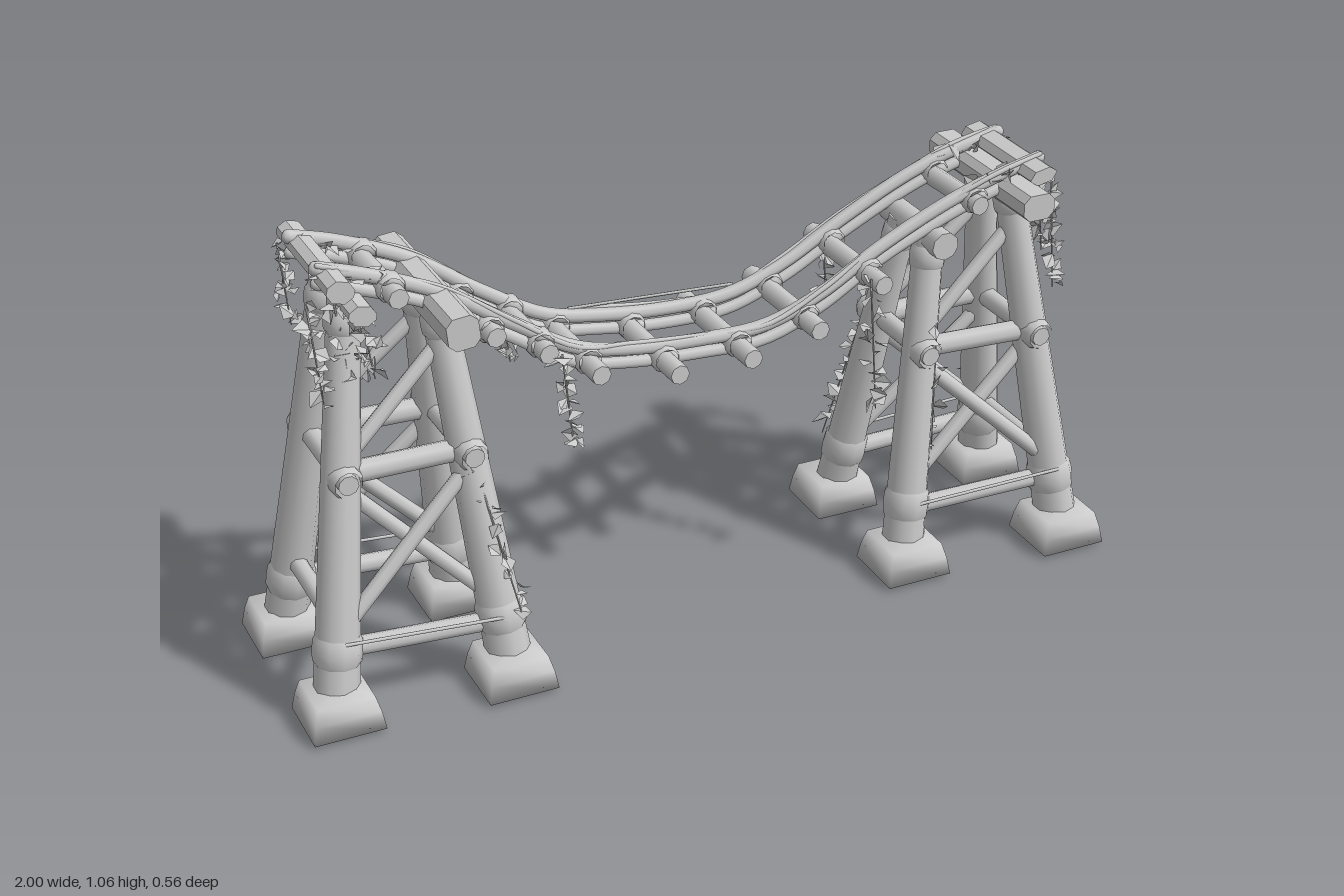
import * as THREE from 'three';
import { mergeGeometries } from 'three/addons/utils/BufferGeometryUtils.js';

const V = (x, y, z) => new THREE.Vector3(x, y, z);
const UP = V(0, 1, 0);
const wood = new THREE.MeshStandardMaterial({ color: 0xcccccc });
const leafy = new THREE.MeshStandardMaterial({ color: 0xcccccc, side: THREE.DoubleSide, flatShading: true });

let seed = 7;
const rand = (a, b) => {
  seed = (seed * 16807) % 2147483647;
  return a + (b - a) * seed / 2147483647;
};

function add(parent, name, geometry, material = wood) {
  const mesh = new THREE.Mesh(geometry, material);
  mesh.name = name;
  parent.add(mesh);
  return mesh;
}

// Round timber between two points
function log(parent, name, a, b, r0, r1 = r0, sides = 9) {
  const dir = b.clone().sub(a);
  const mesh = add(parent, name, new THREE.CylinderGeometry(r1, r0, dir.length(), sides));
  mesh.position.copy(a).add(b).multiplyScalar(0.5);
  mesh.quaternion.setFromUnitVectors(UP, dir.normalize());
}

// Bound sleeve around a timber, swelling in the middle
function wrap(parent, p, dir, r, length) {
  const profile = [[0.8, -0.5], [0.97, -0.3], [1, 0], [0.97, 0.3], [0.8, 0.5]];
  const mesh = add(parent, 'binding', new THREE.LatheGeometry(profile.map(([k, h]) => new THREE.Vector2(r * k, length * h)), 10));
  mesh.position.copy(p);
  mesh.quaternion.setFromUnitVectors(UP, dir.clone().normalize());
}

// Squared beam lying across the track, with chamfered edges
function crossBeam(parent, name, x, y, z0, z1, w, h, tilt = 0) {
  const c = 0.016, s = new THREE.Shape();
  s.moveTo(-w / 2 + c, -h / 2).lineTo(w / 2 - c, -h / 2).lineTo(w / 2, -h / 2 + c)
    .lineTo(w / 2, h / 2 - c).lineTo(w / 2 - c, h / 2).lineTo(-w / 2 + c, h / 2)
    .lineTo(-w / 2, h / 2 - c).lineTo(-w / 2, -h / 2 + c);
  const mesh = add(parent, name, new THREE.ExtrudeGeometry(s, { depth: z1 - z0, bevelEnabled: false }));
  mesh.position.set(x, y, z0);
  mesh.rotation.z = tilt;
}

// A folded pointed leaf, randomly turned
function leaf(p, size) {
  const pts = [0, 0, 0, size * 0.5, size * 0.5, size * 0.2, 0, size * 1.2, 0, -size * 0.5, size * 0.5, size * 0.2];
  const g = new THREE.BufferGeometry();
  g.setAttribute('position', new THREE.Float32BufferAttribute(pts, 3));
  g.setIndex([0, 1, 2, 0, 2, 3]);
  g.computeVertexNormals();
  g.translate(0, -size * 0.5, 0).rotateZ(rand(0, 6.28)).rotateX(rand(0, 6.28)).rotateY(rand(0, 6.28));
  return g.translate(p.x, p.y, p.z);
}

// Leafy strand from a to b
function vine(parent, a, b, count, spread = 0.018, size = 0.034) {
  const leaves = [];
  for (let i = 0; i < count; i++) {
    const p = a.clone().lerp(b, (i + rand(0, 0.8)) / count);
    p.add(V(rand(-spread, spread), 0, rand(-spread, spread)));
    leaves.push(leaf(p, size * rand(0.7, 1.2)));
  }
  add(parent, 'vineLeaves', mergeGeometries(leaves), leafy);
  log(parent, 'vineStem', a, b, 0.0025, 0.0015, 4);
}

// Tapered four-sided stone: profile from the bottom centre up
const footProfile = [[0, 0], [0.116, 0.008], [0.106, 0.05], [0.092, 0.086], [0, 0.098]]
  .map(([r, y]) => new THREE.Vector2(r, y));

// Four-legged trestle; each leg row is [footX, topX, topY, backZ, frontZ]
function tower(name, rows, midY) {
  const t = new THREE.Group();
  t.name = name;
  const legAt = (row, side, y) => {
    const [fx, tx, ty, zb, zf] = row, k = (y - 0.06) / (ty - 0.06);
    return V(fx + (tx - fx) * k, y, THREE.MathUtils.lerp(side < 0 ? zb : zf, side * 0.058, k));
  };
  for (const row of rows) {
    for (const side of [-1, 1]) {
      const base = legAt(row, side, 0.06), top = legAt(row, side, row[2]);
      const foot = add(t, 'footBlock', new THREE.LatheGeometry(footProfile, 4).rotateY(Math.PI / 4));
      foot.position.set(base.x, 0, base.z + side * 0.008);
      log(t, 'leg', base, top, 0.052, 0.036, 10);
      const dir = top.clone().sub(base);
      wrap(t, legAt(row, side, 0.17), dir, 0.056, 0.085);
      wrap(t, legAt(row, side, row[2] - 0.05), dir, 0.043, 0.06);
      // Binding where the tie crosses the leg
      const joint = legAt(row, side, midY);
      joint.z += side * 0.02;
      wrap(t, joint, V(0, 0, 1), 0.038, 0.07);
    }
    // Tie across the track
    const a = legAt(row, -1, midY), b = legAt(row, 1, midY);
    a.z -= 0.065;
    b.z += 0.055;
    log(t, 'crossTie', a, b, 0.025, 0.023);
  }
  const [outer, inner] = rows;
  log(t, 'lowTie', legAt(outer, -1, 0.225), legAt(outer, 1, 0.225), 0.021);
  // Side rails, diagonal braces and a slack rope on both faces
  for (const side of [-1, 1]) {
    const brace = (name, row0, y0, row1, y1, r, off = 0) => {
      const a = legAt(row0, side, y0), b = legAt(row1, side, y1);
      a.z += side * off;
      b.z += side * off;
      log(t, name, a, b, r, r, 8);
    };
    brace('sideRail', outer, midY, inner, midY, 0.026);
    brace('sideRail', outer, 0.17, inner, 0.155, 0.022);
    brace('brace', outer, 0.21, inner, midY - 0.03, 0.018, 0.012);
    brace('brace', outer, midY - 0.03, inner, 0.2, 0.018, -0.012);
    brace('sideRope', outer, 0.205, inner, 0.185, 0.004, 0.05);
    if (outer[1] < 0) brace('brace', outer, midY + 0.02, inner, inner[2] - 0.08, 0.017);
    else brace('brace', inner, midY + 0.03, outer, outer[2] - 0.1, 0.017);
  }
  return t;
}

export function createModel() {
  const model = new THREE.Group();
  model.name = 'trestleTrack';

  model.add(tower('highTower', [[-0.918, -0.805, 0.95, -0.184, 0.176], [-0.52, -0.605, 0.9, -0.165, 0.192]], 0.565));
  model.add(tower('lowTower', [[0.917, 0.8, 0.92, -0.184, 0.18], [0.508, 0.595, 0.82, -0.192, 0.148]], 0.55));

  // Beams capping the towers
  crossBeam(model, 'capBeam', -0.608, 0.9, -0.23, 0.23, 0.072, 0.075, 0.1);
  crossBeam(model, 'capBeam', -0.8, 0.95, -0.155, 0.165, 0.06, 0.045, -0.2);
  crossBeam(model, 'capBeam', 0.79, 0.91, -0.215, 0.21, 0.08, 0.062);
  log(model, 'capBeam', V(0.597, 0.818, -0.13), V(0.597, 0.818, 0.13), 0.034);

  // Sagging track
  const path = [[-0.87, 1.038], [-0.78, 1.012], [-0.61, 0.932], [-0.45, 0.827], [-0.3, 0.74], [-0.17, 0.703],
    [0, 0.688], [0.16, 0.697], [0.3, 0.742], [0.45, 0.824], [0.61, 0.903], [0.74, 0.945], [0.86, 0.972]];
  const track = new THREE.Group();
  track.name = 'track';
  model.add(track);
  const strand = (name, dy, z, r, wobble) => {
    const curve = new THREE.CatmullRomCurve3(path.map(([x, y], i) =>
      V(x, y + dy + wobble * Math.sin(i * 2.1 + z * 30), z + wobble * Math.cos(i * 1.7))));
    add(track, name, new THREE.TubeGeometry(curve, 60, r, 7));
    for (const end of [0, 1]) add(track, 'railEnd', new THREE.SphereGeometry(r, 7, 5)).position.copy(curve.getPoint(end));
  };
  for (const z of [-0.095, 0.085]) {
    strand('rail', 0, z, 0.016, 0.003);
    strand('lowerRail', -0.035, z * 0.98, 0.014, 0.004);
    strand('rope', 0.01, z * 1.08, 0.006, 0.008);
  }
  log(track, 'tautRope', V(-0.24, 0.735, -0.1), V(0.17, 0.713, -0.1), 0.004, 0.004, 5);

  // Sleepers [x, y, half length] slung below the rails, bound at each rail
  const sleepers = [[-0.715, 0.957, 0.14], [-0.5, 0.817, 0.13], [-0.385, 0.757, 0.14], [-0.275, 0.693, 0.165],
    [-0.09, 0.656, 0.17], [0.09, 0.655, 0.17], [0.26, 0.687, 0.165], [0.42, 0.766, 0.165], [0.69, 0.893, 0.12]];
  for (const [x, y, half] of sleepers) {
    log(track, 'sleeper', V(x - 0.005, y, -half - 0.007), V(x + 0.005, y, half - 0.007), 0.025, 0.023, 8);
    for (const z of [-0.095, 0.085]) wrap(track, V(x, y + 0.01, z), V(0, 0, 1), 0.034, 0.045);
  }
  // Planks at the ends of the track
  crossBeam(track, 'endPlank', -0.845, 1.015, -0.165, 0.17, 0.06, 0.048, -0.25);
  crossBeam(track, 'endPlank', 0.83, 0.96, -0.15, 0.16, 0.07, 0.035, 0.2);

  // Hanging vines [x, topY, z, bottomY]
  const vines = new THREE.Group();
  vines.name = 'vines';
  model.add(vines);
  const hanging = [[-0.91, 0.98, 0.14, 0.76], [-0.88, 1.0, -0.15, 0.8], [-0.84, 0.99, 0.09, 0.78], [-0.35, 0.75, 0.13, 0.52],
    [-0.38, 0.74, -0.15, 0.6], [0.4, 0.78, 0.14, 0.45], [0.43, 0.78, -0.15, 0.58], [0.87, 0.94, 0.13, 0.66],
    [0.86, 0.94, -0.16, 0.7], [0.86, 0.95, 0.09, 0.74], [-0.8, 0.95, 0.15, 0.8], [-0.78, 0.95, -0.16, 0.82]];
  for (const [x, y, z, end] of hanging) vine(vines, V(x, y, z), V(x + 0.02, end, z * 1.05), 18);
  // Creepers on the legs
  vine(vines, V(0.57, 0.6, -0.15), V(0.5, 0.17, -0.25), 18);
  vine(vines, V(-0.57, 0.55, 0.15), V(-0.5, 0.18, 0.235), 16);
  vine(vines, V(0.59, 0.62, 0.12), V(0.58, 0.3, 0.14), 10);
  vine(vines, V(0.87, 0.3, -0.18), V(0.92, 0.13, -0.24), 8);
  // Tufts along the track ends
  for (const z of [-0.09, 0.09]) {
    vine(vines, V(-0.87, 1.03, z), V(-0.72, 0.985, z), 18, 0.02);
    vine(vines, V(0.7, 0.94, z), V(0.86, 0.965, z), 18, 0.02);
  }
  return model;
}
